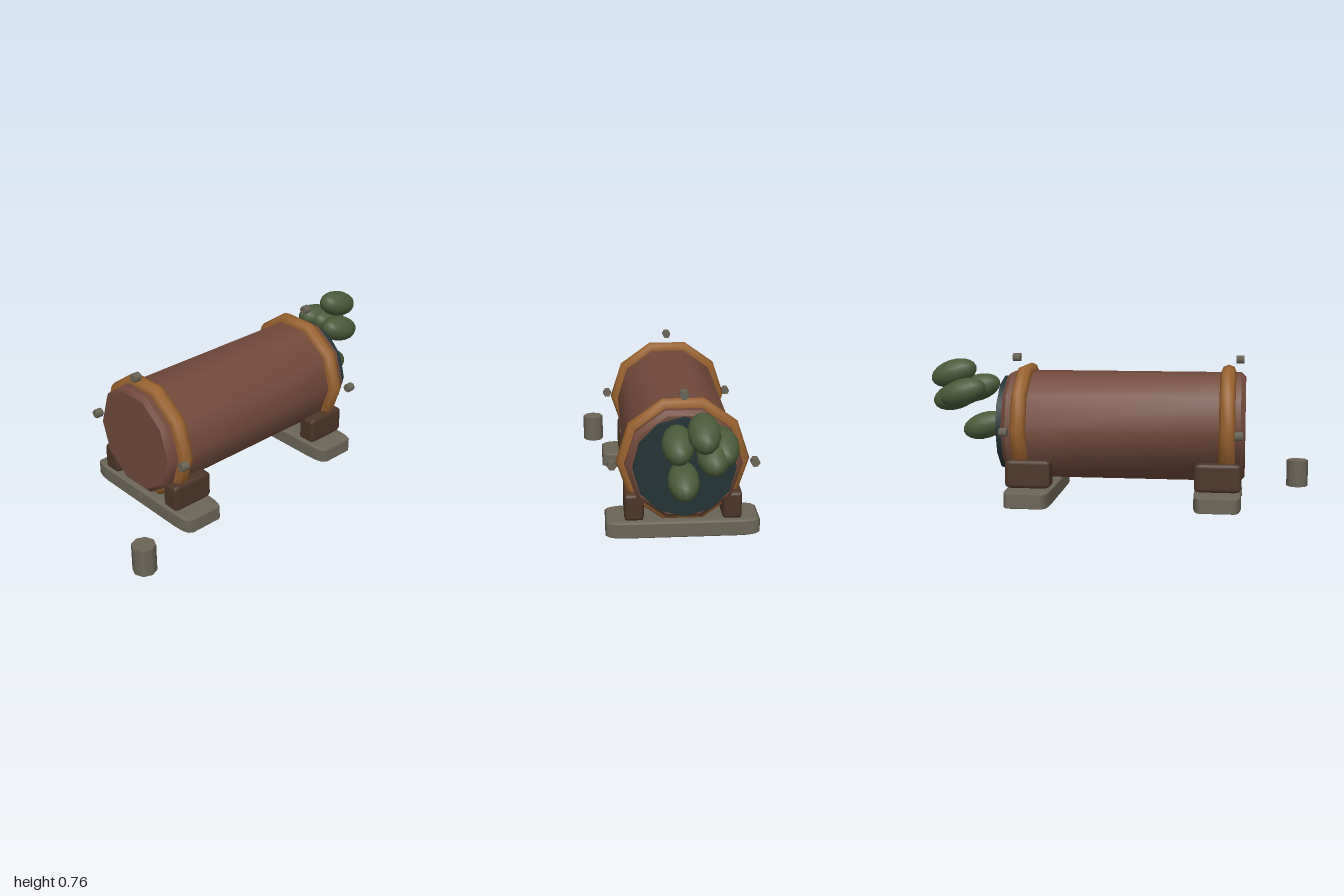
import * as THREE from 'three';
import { toCreasedNormals } from 'three/addons/utils/BufferGeometryUtils.js';
import { RoundedBoxGeometry } from 'three/addons/geometries/RoundedBoxGeometry.js';

const material = (name, color) => {
  const m = new THREE.MeshStandardMaterial({ color });
  m.name = name;
  return m;
};

export function createModel() {
  const model = new THREE.Group();
  model.name = 'barrel';

  const wood = material('brown wood', 0x70493a);
  const copper = material('copper', 0x99622f);
  const darkWood = material('dark wood', 0x4d3526);
  const stone = material('grey stone', 0x6b6557);
  const leaf = material('leaf green', 0x4a5a38);
  const dark = material('dark water', 0x243335);

  const AXIS_Y = 0.393, AXIS_Z = -0.053;

  function add(name, geometry, mat, x, y, z) {
    const mesh = new THREE.Mesh(geometry, mat);
    mesh.name = name;
    mesh.position.set(x, y, z);
    model.add(mesh);
    return mesh;
  }

  // Cylinder lying along x with a corner pointing to +z
  const lying = (r, length, sides) =>
    new THREE.CylinderGeometry(r, r, length, sides).rotateZ(-Math.PI / 2);

  // Box with edges rounded in proportion to each side
  const softBox = (w, h, d, round) =>
    new RoundedBoxGeometry(1, 1, 1, 2, round).scale(w, h, d);

  // Ten-sided barrel body with chamfered ends
  const profile = [[0, -0.65], [0.262, -0.65], [0.285, -0.627], [0.285, 0.557], [0.262, 0.58], [0, 0.58]]
    .map(([r, x]) => new THREE.Vector2(r, x));
  const body = new THREE.LatheGeometry(profile, 10).rotateZ(-Math.PI / 2);
  add('barrelBody', toCreasedNormals(body, 0.7), wood, 0, AXIS_Y, AXIS_Z);

  // Dark opening at the left end
  add('opening', lying(0.248, 0.04, 12), dark, 0.59, AXIS_Y, AXIS_Z);

  // Hoops
  for (const x of [-0.56, 0.488]) {
    const hoop = new THREE.TorusGeometry(0.285, 0.04, 8, 10).rotateY(Math.PI / 2);
    add('hoop', hoop, copper, x, AXIS_Y, AXIS_Z);
  }

  // Four bolts around each end
  for (const x of [-0.619, 0.546]) {
    for (let i = 0; i < 4; i++) {
      const a = i * Math.PI / 2;
      add('bolt', lying(0.023, 0.04, 6), stone, x,
        AXIS_Y + 0.345 * Math.sin(a), AXIS_Z + 0.345 * Math.cos(a));
    }
  }

  // Cradles: a stone beam with two wooden chocks
  for (const x of [-0.516, 0.441]) {
    add('beam', softBox(0.236, 0.09, 0.762, 0.14), stone, x, 0.048, AXIS_Z);
    for (const side of [-1, 1]) {
      add('chock', softBox(0.232, 0.143, 0.096, 0.14), darkWood, x, 0.168, AXIS_Z + side * 0.24);
    }
  }

  // Drooping leaf clusters at the opening
  const leaves = [
    [0.725, 0.373, -0.037],
    [0.772, 0.57, -0.006],
    [0.87, 0.658, -0.114],
    [0.848, 0.543, -0.157],
    [0.8, 0.567, -0.207],
  ];
  for (const [x, y, z] of leaves) {
    const geo = new THREE.SphereGeometry(1, 14, 10).scale(0.126, 0.07, 0.075);
    add('leafCluster', geo, leaf, x, y, z).rotation.z = -0.31;
  }

  // Small standing post
  add('post', new THREE.CylinderGeometry(0.059, 0.059, 0.145, 8), stone, -0.941, 0.0725, 0.377);

  return model;
}
